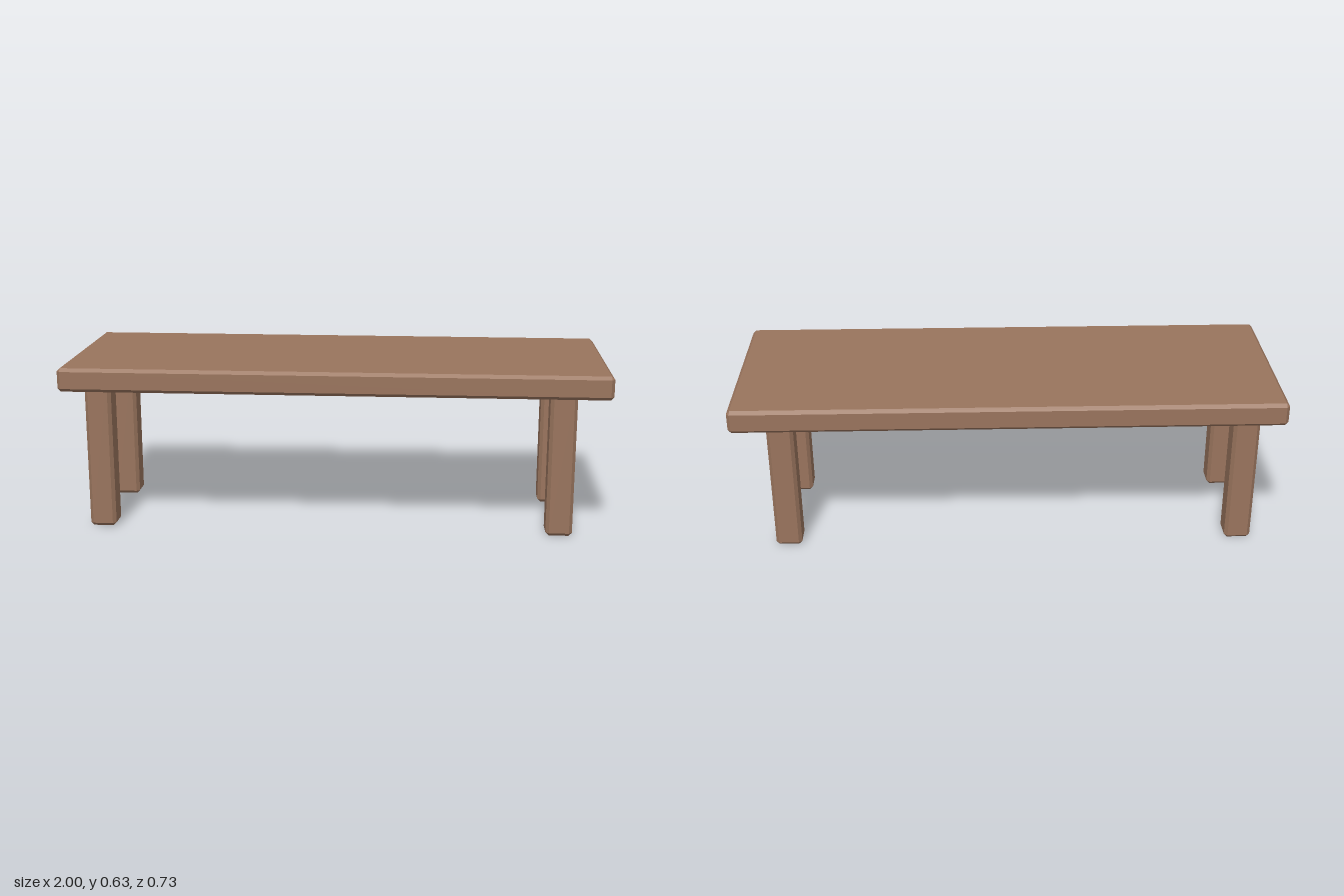
import * as THREE from 'three';
import { ConvexGeometry } from 'three/addons/geometries/ConvexGeometry.js';

const BEVEL = 0.012;

// Box with every edge and corner cut by a flat bevel
function bevelledBox(w, h, d) {
  const half = [w / 2, h / 2, d / 2];
  const points = [];
  for (const sx of [-1, 1]) for (const sy of [-1, 1]) for (const sz of [-1, 1]) {
    // three points per corner, one on each adjoining face
    for (let face = 0; face < 3; face++) {
      const p = half.map((v, axis) => (axis === face ? v : v - BEVEL));
      points.push(new THREE.Vector3(sx * p[0], sy * p[1], sz * p[2]));
    }
  }
  return new ConvexGeometry(points);
}

export function createModel() {
  const model = new THREE.Group();
  model.name = 'table';
  const wood = new THREE.MeshStandardMaterial({ color: 0x99745d, flatShading: true });

  // Tabletop
  const top = new THREE.Mesh(bevelledBox(2, 0.087, 0.732), wood);
  top.name = 'tabletop';
  top.position.y = 0.5885;
  model.add(top);

  // Legs, slightly off centre, their upper bevels sunk into the tabletop
  const legHeight = 0.565;
  const legGeometry = bevelledBox(0.098, legHeight, 0.098);
  for (const [side, x] of [['Left', 0.837], ['Right', -0.88]]) {
    for (const [end, z] of [['front', 0.211], ['back', -0.199]]) {
      const leg = new THREE.Mesh(legGeometry, wood);
      leg.name = `${end}${side}Leg`;
      leg.position.set(x, legHeight / 2, z);
      model.add(leg);
    }
  }
  return model;
}
